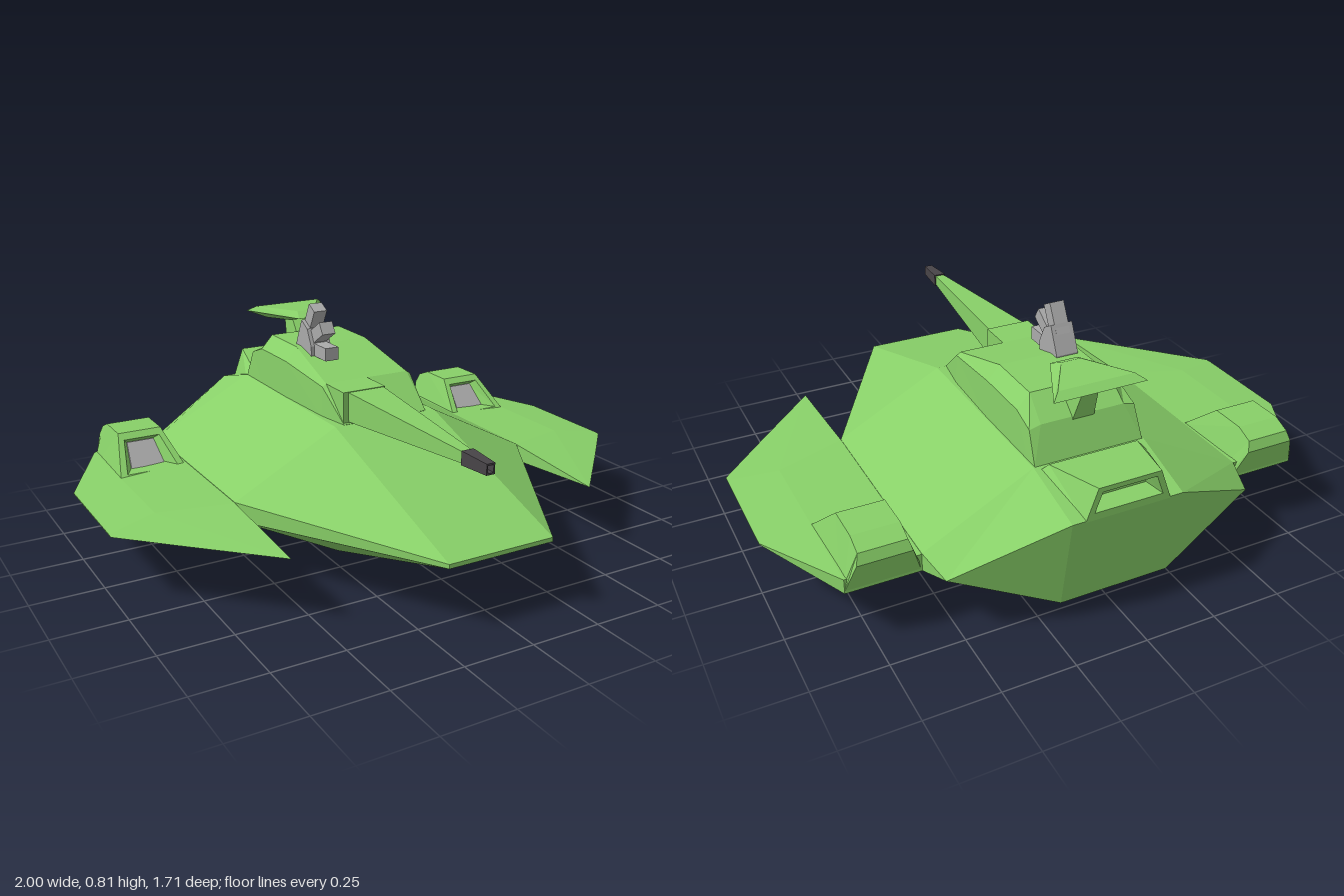
import * as THREE from 'three';

const paint = (color) => new THREE.MeshStandardMaterial({ color, flatShading: true, side: THREE.DoubleSide });
const green = paint(0x88d068), grey = paint(0xaaaaaa), dark = paint(0x484448);

// Faceted skin through rings of equal point count, capped at both ends, turned outward.
function loft(rings) {
  const n = rings[0].length, tris = [];
  const quad = (a, b, c, d) => tris.push([a, b, c], [a, c, d]);
  for (let r = 0; r < rings.length - 1; r++) {
    for (let i = 0; i < n; i++) {
      const j = (i + 1) % n;
      quad(rings[r][i], rings[r][j], rings[r + 1][j], rings[r + 1][i]);
    }
  }
  const first = rings[0], last = rings[rings.length - 1];
  for (let i = 1; i < n - 1; i++) {
    tris.push([first[0], first[i + 1], first[i]], [last[0], last[i], last[i + 1]]);
  }
  const vec = (p) => new THREE.Vector3(...p);
  const volume = tris.reduce((s, [a, b, c]) => s + vec(a).dot(vec(b).cross(vec(c))), 0);
  const solid = tris.filter(([a, b, c]) => vec(b).sub(vec(a)).cross(vec(c).sub(vec(a))).length() > 1e-9);
  const points = solid.flatMap(([a, b, c]) => (volume < 0 ? [a, c, b] : [a, b, c])).flat();
  const geo = new THREE.BufferGeometry();
  geo.setAttribute('position', new THREE.Float32BufferAttribute(points, 3));
  geo.computeVertexNormals();
  return geo;
}

// Ring from its +x half, mirrored; cx shifts the centre line.
const sym = (half, cx = 0) => [
  ...half.map(([x, y, z]) => [cx + x, y, z]),
  ...half.slice().reverse().map(([x, y, z]) => [cx - x, y, z]),
];

// Rectangular ring across z.
const rect = (cx, cy, hw, hh, z) => sym([[hw, cy + hh, z], [hw, cy - hh, z]], cx);

export function createModel() {
  const model = new THREE.Group();
  const add = (name, geo, mat = green) => {
    const mesh = new THREE.Mesh(geo, mat);
    mesh.name = name;
    model.add(mesh);
    return mesh;
  };

  // Faceted hull, nose to stern
  const top = [0.195, 0.4, -0.855], low = [0.195, 0.07, -0.8], side = [0.55, 0.23, -0.73];
  const mid = (z) => sym([[0.2, 0.465, z], [0.58, 0.265, z], [0.58, 0.2, z], [0.195, 0, z]]);
  add('hull', loft([
    sym([[0.195, 0.24, 0.83], [0.195, 0.24, 0.83], [0.195, 0.225, 0.83], [0.195, 0.225, 0.83]]),
    mid(0.13), mid(-0.615),
    sym([top, side, side, low]),
    sym([top, top, low, low]),
  ]));

  // Stern exhaust housing with a recessed slot
  add('exhaustHousing', loft([
    sym([[0.16, 0.48, -0.64], [0.2, 0.44, -0.615]]),
    sym([[0.11, 0.505, -0.855], [0.15, 0.395, -0.855]]),
    sym([[0.095, 0.488, -0.855], [0.12, 0.42, -0.855]]),
    sym([[0.085, 0.475, -0.79], [0.1, 0.43, -0.79]]),
  ]));

  // Cabin on the deck
  add('cabin', loft([
    sym([[0.165, 0.466, 0.13], [0.165, 0.465, 0.13], [0.165, 0.46, 0.13]]),
    sym([[0.165, 0.58, 0], [0.18, 0.57, 0], [0.185, 0.46, 0]]),
    sym([[0.145, 0.65, -0.27], [0.19, 0.6, -0.27], [0.195, 0.46, -0.27]]),
    sym([[0.145, 0.65, -0.48], [0.19, 0.6, -0.48], [0.195, 0.46, -0.48]]),
    sym([[0.15, 0.58, -0.565], [0.19, 0.57, -0.565], [0.195, 0.46, -0.57]]),
    sym([[0.195, 0.465, -0.615], [0.195, 0.463, -0.615], [0.195, 0.46, -0.615]]),
  ]));

  // Main gun, offset to the right
  const gx = -0.075;
  add('gunMount', loft([rect(-0.0825, 0.522, 0.0825, 0.058, -0.02), rect(-0.0825, 0.522, 0.0825, 0.058, 0.125)]));
  add('gunBarrel', loft([rect(gx, 0.525, 0.07, 0.053, 0.12), rect(gx, 0.528, 0.016, 0.018, 0.75)]));
  add('gunMuzzle', loft([
    rect(gx, 0.528, 0.022, 0.023, 0.735), rect(gx, 0.528, 0.015, 0.018, 0.855),
    rect(gx, 0.528, 0.01, 0.012, 0.855), rect(gx, 0.528, 0.01, 0.012, 0.81),
  ]), dark);

  // Raised rear plate on a leaning stalk
  const plate = (back, zb, front, zf, y) => sym([[back, y, zb], [front, y, zf]]);
  add('rearPlate', loft([
    plate(0.1, -0.62, 0.04, -0.53, 0.685),
    plate(0.165, -0.67, 0.05, -0.435, 0.71),
    plate(0.135, -0.64, 0.035, -0.48, 0.73),
  ]));
  add('rearPlateStalk', loft([
    sym([[0.04, 0.63, -0.47], [0.04, 0.56, -0.565]]),
    sym([[0.028, 0.69, -0.54], [0.028, 0.69, -0.61]]),
  ]));

  // Small roof launcher: bracket with three fanned tubes
  const bracket = new THREE.Shape([[0.19, 0.62], [0.31, 0.64], [0.31, 0.655], [0.265, 0.75], [0.22, 0.725], [0.19, 0.665]]
    .map(([z, y]) => new THREE.Vector2(z, y)));
  const bracketGeo = new THREE.ExtrudeGeometry(bracket, { depth: 0.08, bevelEnabled: false });
  bracketGeo.rotateY(Math.PI / 2).translate(-0.125, 0, 0);
  add('launcherBracket', bracketGeo, grey);
  [[0.652, -0.16, 0], [0.712, -0.185, 0.56], [0.755, -0.235, 1.08]].forEach(([y, z, tilt], i) => {
    const tube = add('launcherTube' + (i + 1), new THREE.BoxGeometry(0.052, 0.047, 0.11), grey);
    tube.position.set(-0.085, y, z);
    tube.rotation.x = -tilt;
  });

  for (const s of [1, -1]) {
    const name = s > 0 ? 'left' : 'right';
    const flip = (ring) => ring.map(([x, y, z]) => [s * x, y, z]);

    // Thin side wing: leading edge, upper front/rear, lower rear/front
    const rib = (x, zl, yl, zf, zr, yt, yb) =>
      [[x, yl, zl], [x, yt, zf], [x, yt, zr], [x, yb, zr], [x, yb, zf]];
    add(name + 'Wing', loft([
      rib(0.58, 0.555, 0.235, 0.13, -0.615, 0.263, 0.2),
      rib(0.83, 0.298, 0.232, 0.05, -0.615, 0.252, 0.2),
      rib(1, 0.12, 0.23, 0.1, -0.3, 0.232, 0.228),
    ].map(flip)));

    // Engine pod with a recessed sloping intake
    const pod = (ht, yt, zt, hb, yb, zb) => flip(sym([[ht, yt, zt], [hb, yb, zb]], 0.707));
    add(name + 'Pod', loft([
      pod(0.05, 0.33, -0.445, 0.062, 0.255, -0.37),
      pod(0.066, 0.35, -0.417, 0.095, 0.257, -0.308),
      pod(0.08, 0.37, -0.44, 0.122, 0.25, -0.3),
      pod(0.08, 0.37, -0.57, 0.122, 0.23, -0.57),
      pod(0.08, 0.345, -0.63, 0.122, 0.23, -0.61),
      pod(0.09, 0.31, -0.645, 0.122, 0.21, -0.615),
    ]));
    add(name + 'IntakePanel', loft([
      pod(0.05, 0.332, -0.437, 0.062, 0.257, -0.362),
      pod(0.05, 0.33, -0.447, 0.062, 0.255, -0.372),
    ]), grey);
  }
  return model;
}
